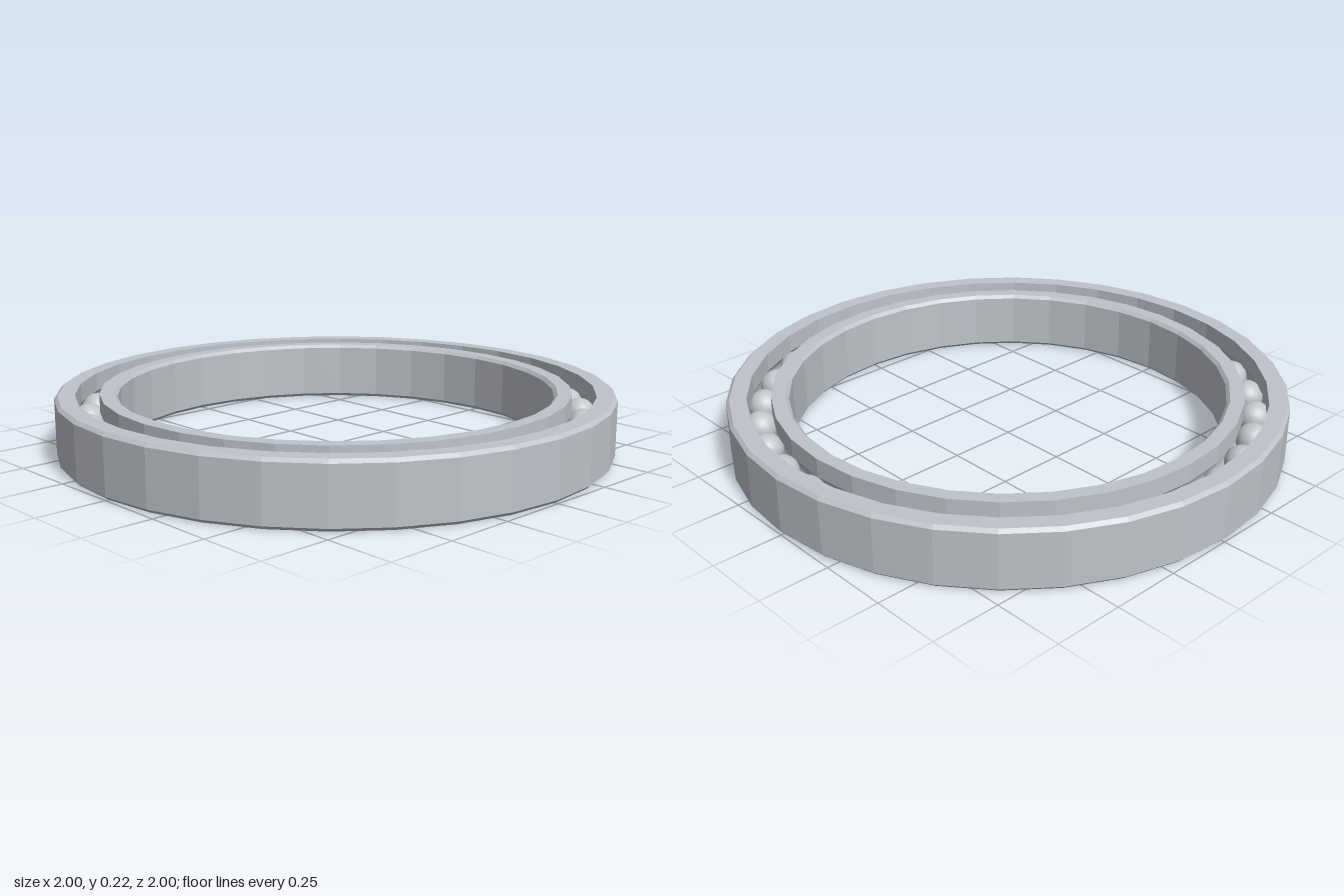
import * as THREE from 'three';

const SEGMENTS = 32, BALLS = 33;
const HEIGHT = 0.22, MID = HEIGHT / 2, CHAMFER = 0.012;
const PITCH = 0.886, BALL_R = 0.06, HALF_GAP = 0.042;

// Points of the rounded raceway; side +1 cuts the outer ring, -1 the inner ring
function groove(side) {
  const limit = Math.acos(HALF_GAP / BALL_R), steps = 8, points = [];
  for (let i = 0; i <= steps; i++) {
    const a = limit * (1 - (2 * i) / steps) * side;
    points.push([PITCH + side * BALL_R * Math.cos(a), MID + BALL_R * Math.sin(a)]);
  }
  return points;
}

// Faceted ring turned from a closed profile of [radius, height] points
function ring(name, profile, material) {
  const points = [...profile, profile[0]].map(([r, y]) => new THREE.Vector2(r, y));
  const mesh = new THREE.Mesh(new THREE.LatheGeometry(points, SEGMENTS), material);
  mesh.name = name;
  return mesh;
}

export function createModel() {
  const group = new THREE.Group();
  group.name = 'ballBearing';

  const ringSteel = new THREE.MeshStandardMaterial({ color: 0xbfc3c9, flatShading: true });
  ringSteel.name = 'ring steel';
  const ballSteel = new THREE.MeshStandardMaterial({ color: 0xc2c6c9 });
  ballSteel.name = 'ball steel';

  // Outer race: chamfered outside, grooved inside
  const outerWall = PITCH + HALF_GAP;
  group.add(ring('outerRace', [
    [1 - CHAMFER, 0], [1, CHAMFER], [1, HEIGHT - CHAMFER], [1 - CHAMFER, HEIGHT],
    [outerWall, HEIGHT], ...groove(1), [outerWall, 0],
  ], ringSteel));

  // Inner race: grooved outside, chamfered bore
  const innerWall = PITCH - HALF_GAP, bore = 0.782;
  group.add(ring('innerRace', [
    [innerWall, 0], ...groove(-1), [innerWall, HEIGHT],
    [bore + CHAMFER, HEIGHT], [bore, HEIGHT - CHAMFER], [bore, CHAMFER], [bore + CHAMFER, 0],
  ], ringSteel));

  // Balls running between the races
  const balls = new THREE.Group();
  balls.name = 'balls';
  const ballGeometry = new THREE.SphereGeometry(BALL_R, 24, 16);
  for (let i = 0; i < BALLS; i++) {
    const a = (i / BALLS) * Math.PI * 2;
    const ball = new THREE.Mesh(ballGeometry, ballSteel);
    ball.name = 'ball';
    ball.position.set(PITCH * Math.cos(a), MID, PITCH * Math.sin(a));
    balls.add(ball);
  }
  group.add(balls);

  return group;
}
